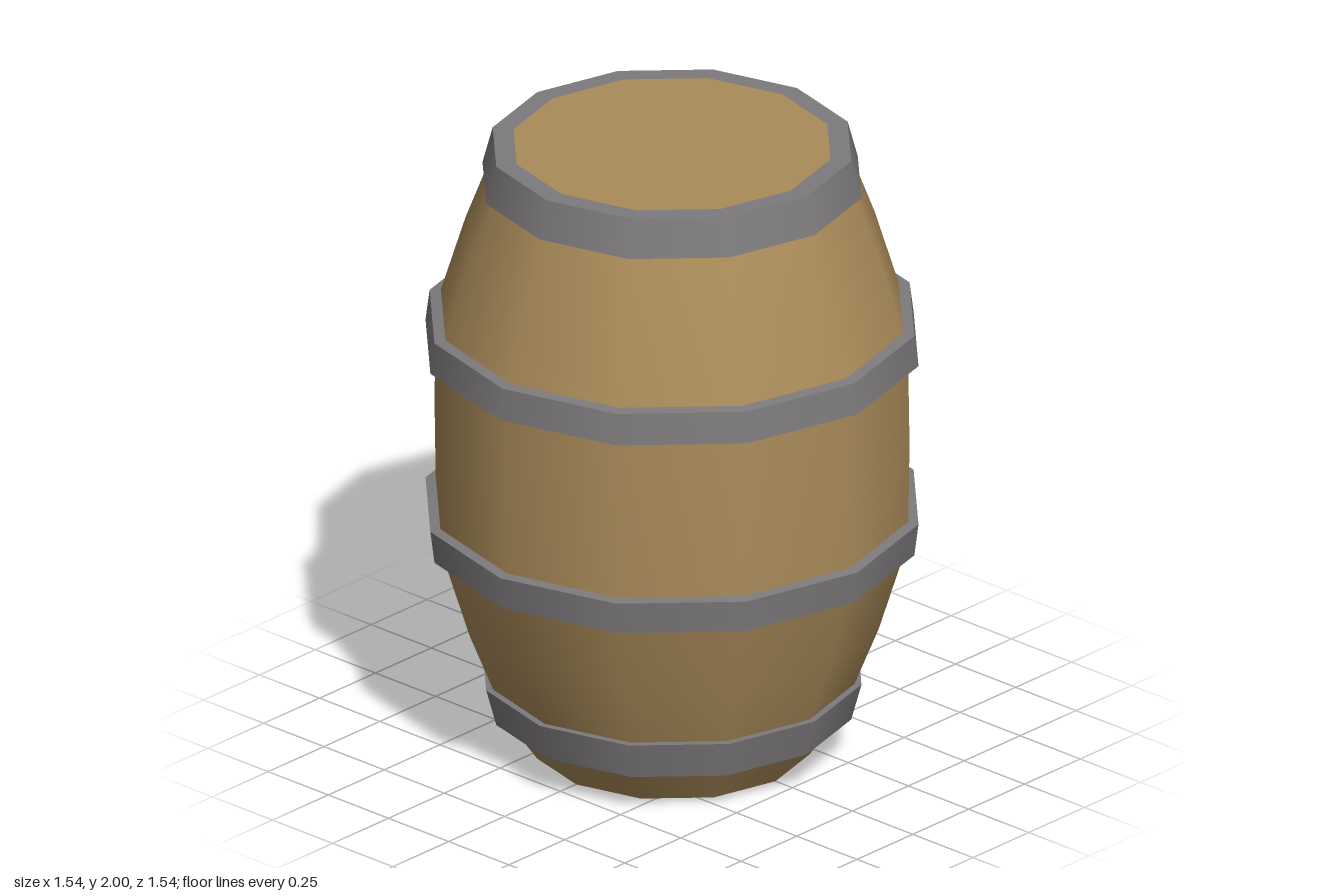
import * as THREE from 'three';

const SIDES = 12;

export function createModel() {
  const wood = new THREE.MeshStandardMaterial({ name: 'wood', color: 0xab8c5a, side: THREE.DoubleSide });
  const iron = new THREE.MeshStandardMaterial({ name: 'iron', color: 0x7d7a7c, side: THREE.DoubleSide });
  const barrel = new THREE.Group();
  barrel.name = 'barrel';

  // Twelve-sided turned surface, smooth around and along its profile
  function turned(name, profile, material, parent = barrel) {
    const points = profile.map(([r, y]) => new THREE.Vector2(r, y));
    const mesh = new THREE.Mesh(new THREE.LatheGeometry(points, SIDES), material);
    mesh.name = name;
    parent.add(mesh);
  }

  // Hoop with a crease at every profile corner, open towards the inside
  function hoop(name, profile) {
    const group = new THREE.Group();
    group.name = name;
    for (let i = 0; i < profile.length - 1; i++) {
      turned(name + 'Face' + (i + 1), [profile[i], profile[i + 1]], iron, group);
    }
    barrel.add(group);
  }

  // Stave walls between the hoops; the foot is open underneath
  turned('footStaves', [[0.43, 0], [0.52, 0.13]], wood);
  turned('lowerStaves', [[0.57, 0.25], [0.645, 0.44], [0.722, 0.69]], wood);
  turned('middleStaves', [[0.738, 0.81], [0.742, 1.07], [0.738, 1.325]], wood);
  turned('upperStaves', [[0.722, 1.44], [0.645, 1.69], [0.573, 1.88]], wood);

  // Iron hoops
  hoop('bottomHoop', [[0.52, 0.13], [0.56, 0.13], [0.592, 0.25], [0.57, 0.25]]);
  hoop('lowerHoop', [[0.722, 0.69], [0.757, 0.7], [0.77, 0.805], [0.738, 0.81]]);
  hoop('upperHoop', [[0.738, 1.325], [0.77, 1.335], [0.757, 1.435], [0.722, 1.44]]);
  hoop('topHoop', [[0.573, 1.88], [0.592, 1.88], [0.56, 2], [0.495, 2]]);

  // Lid set flush in the top hoop
  const lid = new THREE.Mesh(new THREE.CircleGeometry(0.495, SIDES), wood);
  lid.name = 'lid';
  lid.rotation.x = -Math.PI / 2;
  lid.position.y = 2;
  barrel.add(lid);

  return barrel;
}
